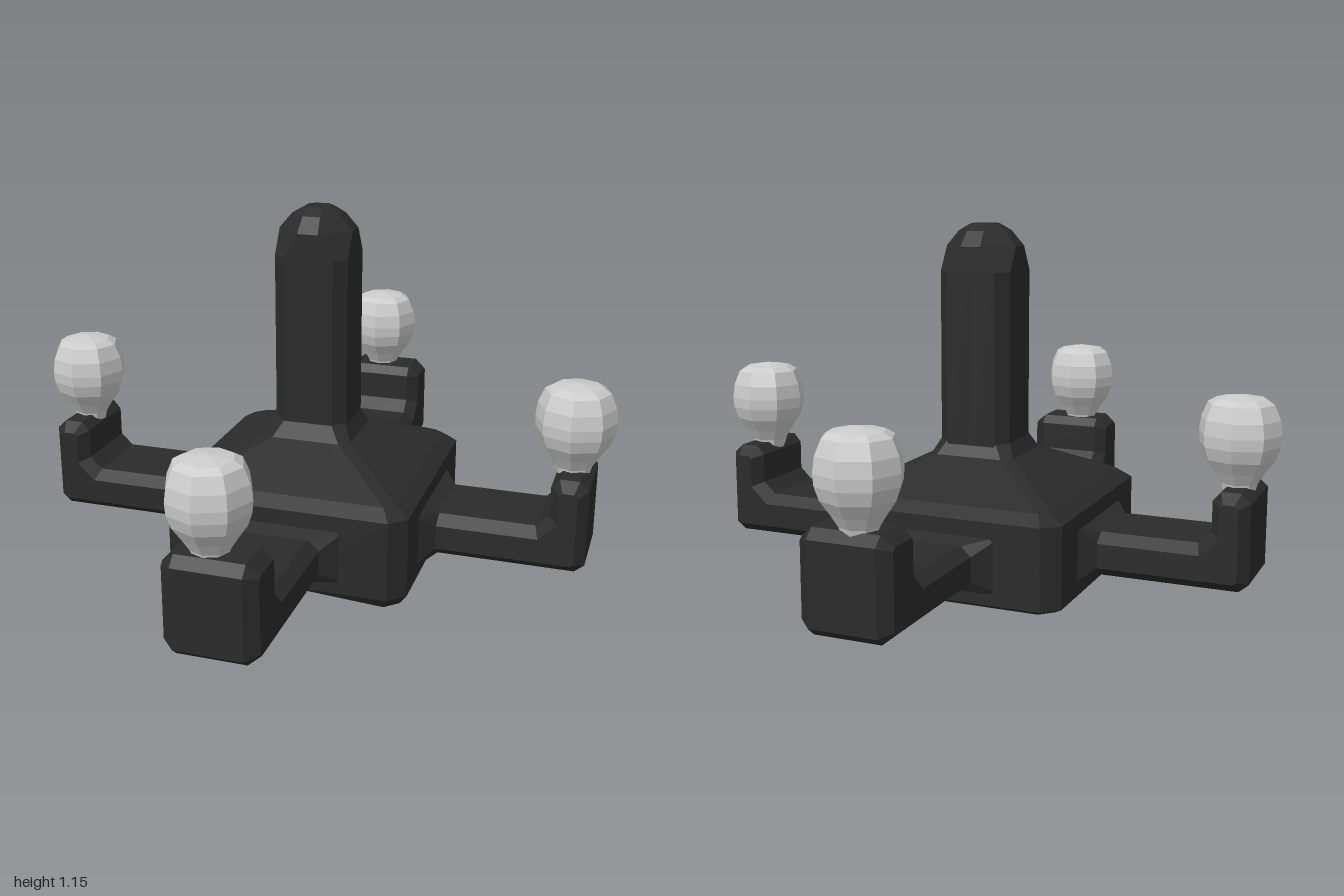
import * as THREE from 'three';

const dark = new THREE.MeshStandardMaterial({ color: 0x2b2b2b, flatShading: true });
const grey = new THREE.MeshStandardMaterial({ color: 0xcccccc, flatShading: true });

// Ring of a rectangle with cut corners, with a midpoint on every side
function ring(y, hx, hz, c) {
  const pts = [];
  const half = [[hx, 0], [hx, hz - c], [hx - c, hz], [0, hz], [-hx + c, hz], [-hx, hz - c]];
  for (const s of [1, -1]) for (const [x, z] of half) pts.push([x * s, y, z * s]);
  return pts;
}

// Skin over a stack of rings [y, halfX, halfZ, cornerCut], closed at both ends;
// the bottom fan meets at height bottomY
function loft(sections, bottomY = sections[0][0]) {
  const rings = sections.map((s) => ring(...s));
  const n = rings[0].length, last = rings.length - 1;
  const pos = rings.flat(2), idx = [];
  for (let i = 0; i < last; i++) {
    for (let j = 0; j < n; j++) {
      const a = i * n + j, b = i * n + (j + 1) % n;
      idx.push(a, a + n, b, b, a + n, b + n);
    }
  }
  const base = rings.length * n;
  pos.push(0, bottomY, 0, 0, sections[last][0], 0);
  for (let j = 0; j < n; j++) {
    const k = (j + 1) % n;
    idx.push(base, j, k, base + 1, last * n + k, last * n + j);
  }
  const g = new THREE.BufferGeometry();
  g.setAttribute('position', new THREE.Float32BufferAttribute(pos, 3));
  g.setIndex(idx);
  g.computeVertexNormals();
  return g;
}

function add(parent, name, geometry, material) {
  const mesh = new THREE.Mesh(geometry, material);
  mesh.name = name;
  parent.add(mesh);
  return mesh;
}

// Bent arm along +x with root collar, upturned end and bulb
function makeArm({ name, reach, inner, half, bulbAt, bulbSide, collar, turn }) {
  const arm = new THREE.Group();
  arm.name = name;

  const profile = new THREE.Shape([
    [0.37, 0.085], [reach - 0.03, 0.085], [reach, 0.11], [reach, 0.355], [reach - 0.03, 0.383],
    [inner + 0.025, 0.383], [inner, 0.355], [inner, 0.26], [inner - 0.04, 0.222], [0.37, 0.222],
  ].map(([x, y]) => new THREE.Vector2(x, y)));
  const bevel = 0.037;
  const bar = new THREE.ExtrudeGeometry(profile, {
    depth: 2 * (half - bevel), bevelEnabled: true, bevelSegments: 1,
    bevelThickness: bevel, bevelSize: 0.03, bevelOffset: -0.03,
  });
  bar.translate(0, 0, -half + bevel);
  add(arm, 'bentBar', bar, dark);

  const root = loft([[0.38, 0.085, collar, 0.01], [0.39, 0.085, collar, 0.01], [0.435, 0.067, half, 0.03]]);
  root.rotateZ(-Math.PI / 2);
  add(arm, 'armCollar', root, dark).position.y = 0.155;

  // Round bulb on a narrow neck
  const outline = [[0, 0.36], [0.05, 0.36], [0.058, 0.39], [0.08, 0.425], [0.108, 0.465], [0.122, 0.505],
    [0.125, 0.54], [0.119, 0.585], [0.1, 0.63], [0.075, 0.645], [0, 0.657]].map((p) => new THREE.Vector2(...p));
  add(arm, 'bulb', new THREE.LatheGeometry(outline, 8), grey).position.set(bulbAt, 0, bulbSide);

  arm.rotation.y = turn;
  return arm;
}

export function createModel() {
  const model = new THREE.Group();
  model.name = 'fourArmLamp';

  // Square hub with a sloping roof and a hollowed underside;
  // the front bottom corners hang slightly lower
  const hub = loft([
    [0.02, 0.365, 0.365, 0.04], [0.035, 0.39, 0.39, 0.05], [0.29, 0.39, 0.39, 0.05],
    [0.32, 0.345, 0.345, 0.03], [0.42, 0.14, 0.14, 0.03], [0.47, 0.115, 0.115, 0.035],
  ], 0.2);
  const p = hub.attributes.position;
  for (let i = 0; i < p.count; i++) {
    if (p.getY(i) < 0.03 && p.getZ(i) > 0.3 && Math.abs(p.getX(i)) > 0.3) p.setY(i, 0);
  }
  hub.computeVertexNormals();
  add(model, 'hub', hub, dark);

  // Central post whose corners are cut away into a faceted dome
  const post = loft([
    [0.4, 0.118, 0.118, 0.038], [1.0, 0.118, 0.118, 0.038], [1.078, 0.118, 0.118, 0.085],
    [1.125, 0.078, 0.078, 0.05], [1.147, 0.04, 0.04, 0.02],
  ]);
  add(model, 'post', post, dark).position.z = -0.005;

  // Two shorter side arms, two longer arms front and back
  const side = { reach: 0.892, inner: 0.777, half: 0.155, bulbAt: 0.826, bulbSide: 0, collar: 0.205 };
  const long = { half: 0.14, collar: 0.19 };
  model.add(
    makeArm({ ...side, name: 'leftArm', turn: 0 }),
    makeArm({ ...side, name: 'rightArm', turn: Math.PI }),
    makeArm({ ...long, name: 'frontArm', reach: 0.963, inner: 0.79, bulbAt: 0.875, bulbSide: 0.02, turn: -Math.PI / 2 }),
    makeArm({ ...long, name: 'backArm', reach: 0.947, inner: 0.775, bulbAt: 0.875, bulbSide: -0.02, turn: Math.PI / 2 }),
  );
  return model;
}
